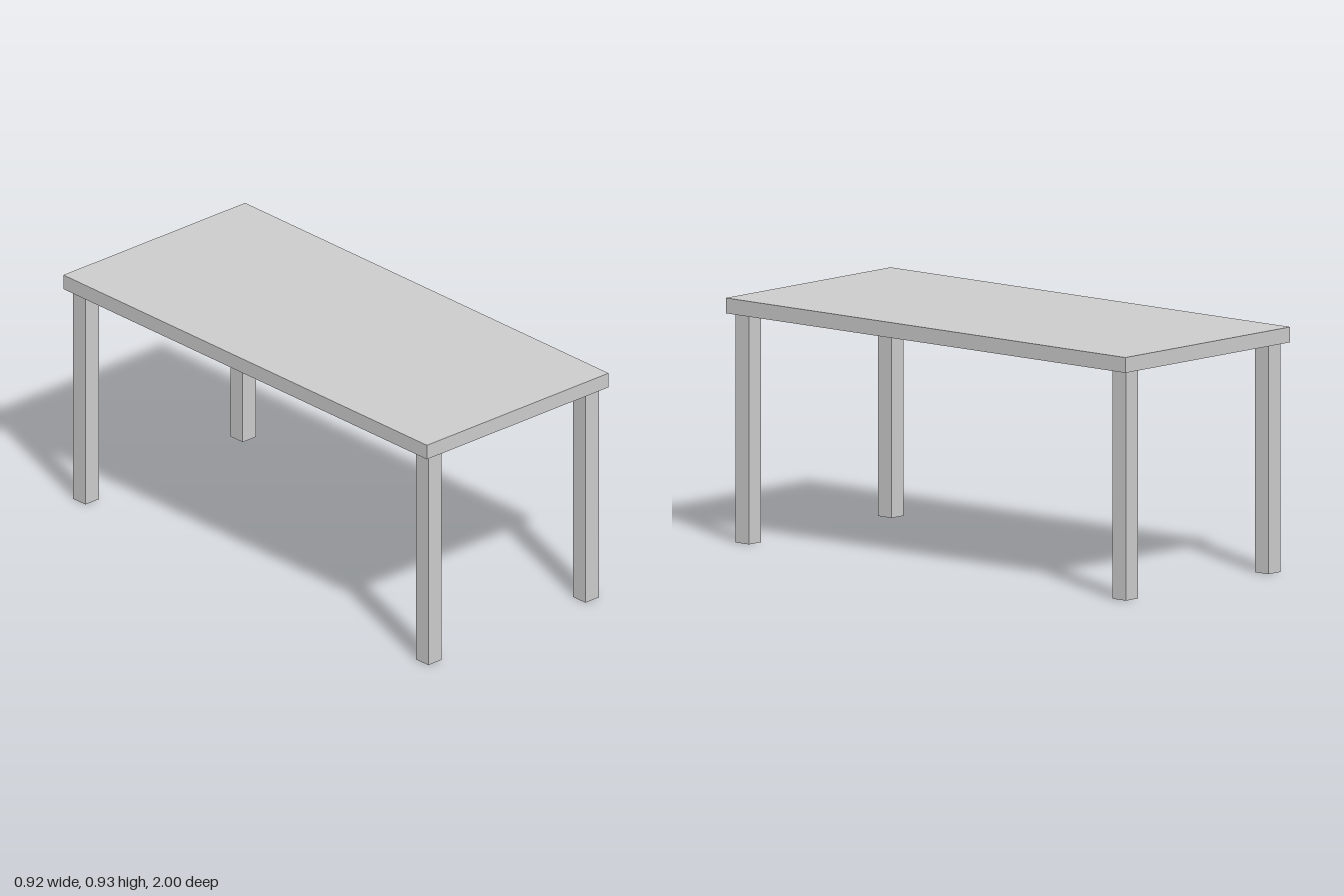
import * as THREE from 'three';

const TOP_Y = 0.925, TOP_THICK = 0.058, WIDTH = 0.92, LENGTH = 2;
const LEG_SIZE = 0.068, LEG_X = 0.398, LEG_Z = 0.943;

export function createModel() {
  const table = new THREE.Group();
  table.name = 'table';
  const material = new THREE.MeshStandardMaterial({ color: 0xcccccc });

  // Box standing on height y
  const addBox = (name, w, h, d, x, y, z) => {
    const mesh = new THREE.Mesh(new THREE.BoxGeometry(w, h, d), material);
    mesh.name = name;
    mesh.position.set(x, y + h / 2, z);
    table.add(mesh);
  };

  // Table top
  const legHeight = TOP_Y - TOP_THICK;
  addBox('tableTop', WIDTH, TOP_THICK, LENGTH, 0, legHeight, 0);

  // Four square legs, mirrored in x and z
  for (const [endName, sz] of [['front', 1], ['back', -1]]) {
    for (const [sideName, sx] of [['Left', 1], ['Right', -1]]) {
      addBox(`${endName}${sideName}Leg`, LEG_SIZE, legHeight, LEG_SIZE, sx * LEG_X, 0, sz * LEG_Z);
    }
  }
  return table;
}
